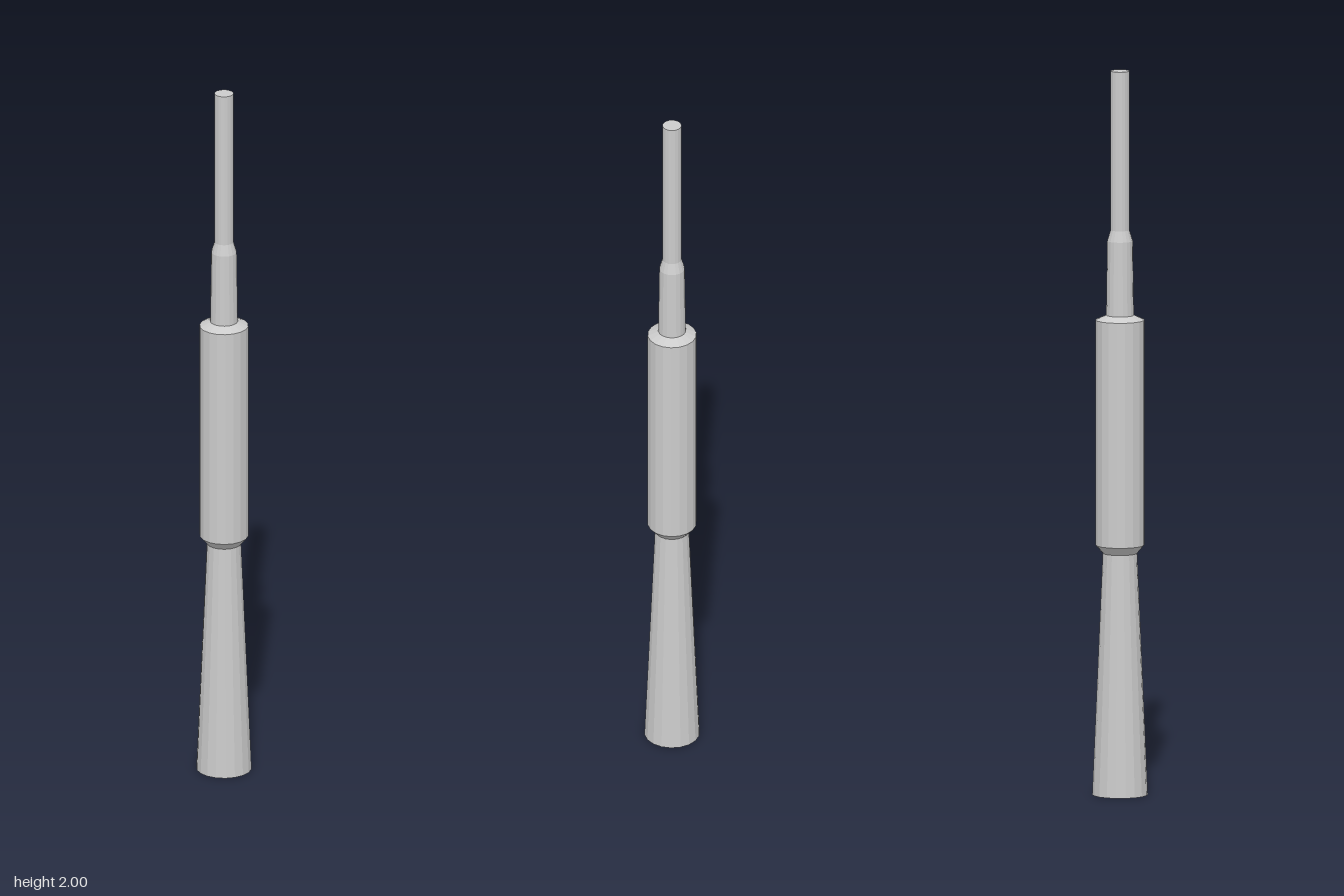
import * as THREE from 'three';

const SIDES = 18;
const material = new THREE.MeshStandardMaterial({
  color: 0xcccccc, flatShading: true, side: THREE.DoubleSide,
});

// Turned part from [radius, height] pairs, listed bottom to top
function turned(name, profile) {
  const points = profile.map(([r, y]) => new THREE.Vector2(r, y));
  const mesh = new THREE.Mesh(new THREE.LatheGeometry(points, SIDES, Math.PI / 2), material);
  mesh.name = name;
  return mesh;
}

export function createModel() {
  const group = new THREE.Group();
  group.name = 'turnedShaft';
  group.add(
    // Hollow flared foot, open at the bottom
    turned('flaredFoot', [[0.076, 0], [0.047, 0.67]]),
    // Thick sleeve with a chamfer at each end
    turned('sleeve', [[0.047, 0.667], [0.067, 0.69], [0.067, 1.312], [0.038, 1.325]]),
    // Narrow neck, tapering to the rod
    turned('neck', [[0.038, 1.325], [0.035, 1.53], [0.026, 1.56]]),
    // Thin rod with a flat closed tip
    turned('rod', [[0.026, 1.56], [0.026, 2], [0, 2]]),
  );
  return group;
}
